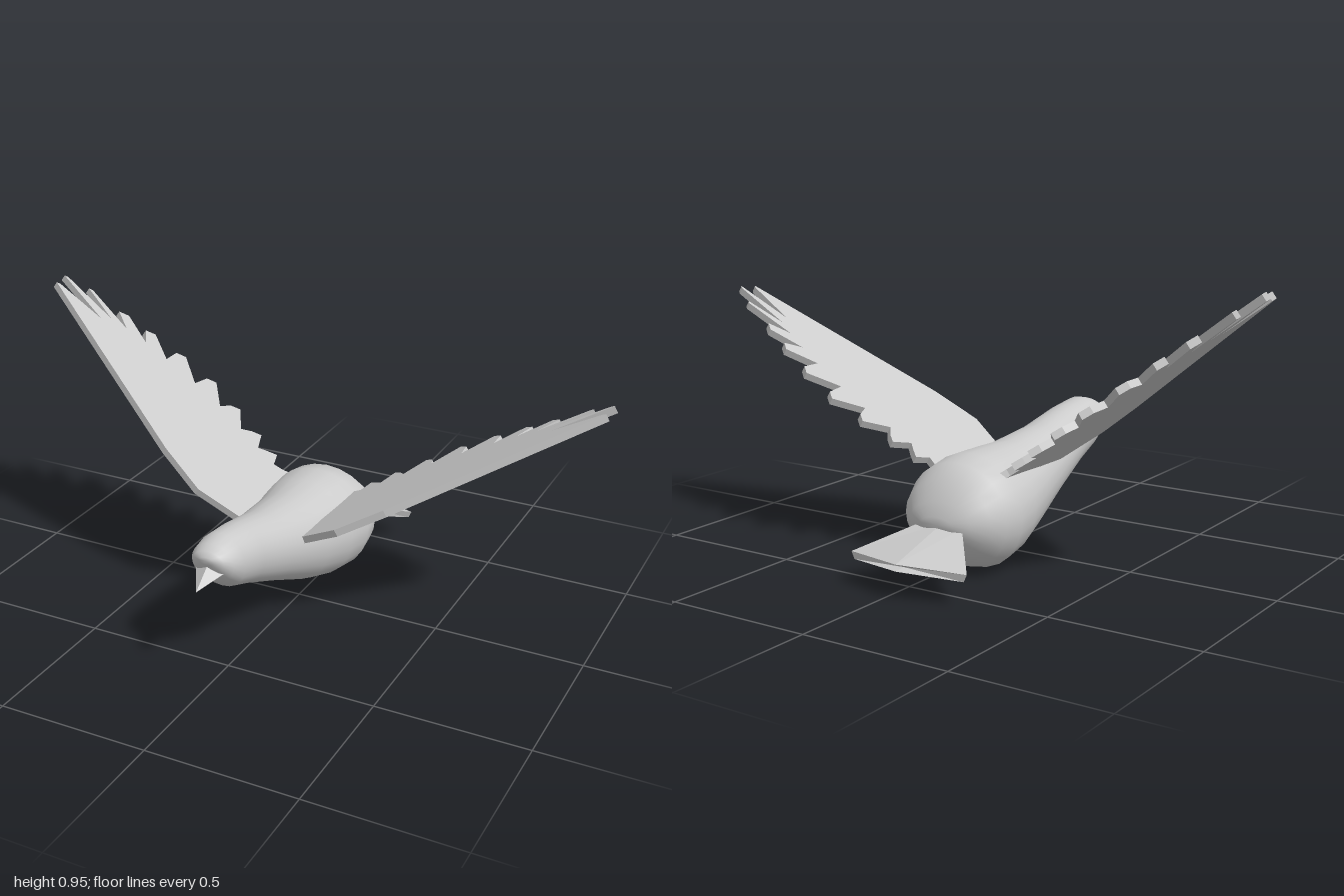
import * as THREE from 'three';

const CENTRE_X = -0.04;

// Skin closed rings (counter-clockwise, running from +z to -z) with end caps.
function loft(rings) {
  const n = rings[0].length;
  const points = rings.flat();
  const index = [];
  for (let i = 0; i < rings.length - 1; i++) {
    for (let j = 0; j < n; j++) {
      const a = i * n + j, b = i * n + (j + 1) % n;
      index.push(a, a + n, b, b, a + n, b + n);
    }
  }
  const last = (rings.length - 1) * n;
  [0, last].forEach((start) => {
    const centre = points.length;
    const mid = new THREE.Vector3();
    rings[start / n].forEach((p) => mid.addScaledVector(p, 1 / n));
    points.push(mid);
    for (let j = 0; j < n; j++) {
      const a = start + j, b = start + (j + 1) % n;
      if (start === 0) index.push(centre, a, b);
      else index.push(centre, b, a);
    }
  });
  const geometry = new THREE.BufferGeometry().setFromPoints(points);
  geometry.setIndex(index);
  geometry.computeVertexNormals();
  return geometry;
}

// Body stations: z, top y, bottom y, half width
const BODY = [
  [0.55, 0.405, 0.38, 0.025], [0.537, 0.42, 0.345, 0.055], [0.51, 0.433, 0.307, 0.074],
  [0.457, 0.445, 0.262, 0.085], [0.35, 0.432, 0.22, 0.095], [0.185, 0.395, 0.147, 0.118],
  [0, 0.375, 0.06, 0.152], [-0.12, 0.377, 0.02, 0.182], [-0.22, 0.376, 0.004, 0.195],
  [-0.295, 0.36, 0.025, 0.188], [-0.35, 0.315, 0.067, 0.163], [-0.39, 0.255, 0.115, 0.115],
  [-0.41, 0.21, 0.16, 0.06],
];

function bodyGeometry() {
  const sides = 24;
  return loft(BODY.map(([z, top, bottom, w]) => Array.from({ length: sides }, (_, j) => {
    const a = (j / sides) * Math.PI * 2;
    // the belly is a little fuller than the back
    const cos = Math.cos(a);
    const fullness = Math.sin(a) < 0 ? 0.85 : 1;
    const x = Math.sign(cos) * Math.pow(Math.abs(cos), fullness) * w;
    return new THREE.Vector3(x, (top + bottom) / 2 + Math.sin(a) * (top - bottom) / 2, z);
  })));
}

// Four-sided beak tapering to a point
function beakGeometry() {
  const tip = new THREE.Vector3(0, 0.318, 0.616);
  const base = [[0.065, 0.362, 0.5], [0, 0.385, 0.53], [-0.065, 0.362, 0.5], [0, 0.33, 0.5]];
  return loft([base.map(() => tip.clone()), base.map((p) => new THREE.Vector3(...p))]);
}

// Fan tail with a low central ridge
function tailGeometry() {
  const section = (w, edgeZ, midZ, edgeTop, midTop, edgeBottom, midBottom) => [
    [w, edgeTop, edgeZ], [0, midTop, midZ], [-w, edgeTop, edgeZ],
    [-w * 0.95, edgeBottom, edgeZ], [0, midBottom, midZ], [w * 0.95, edgeBottom, edgeZ],
  ].map((p) => new THREE.Vector3(...p));
  return loft([
    section(0.075, -0.38, -0.38, 0.178, 0.184, 0.14, 0.144),
    section(0.217, -0.56, -0.62, 0.104, 0.114, 0.08, 0.092),
  ]);
}

// Feathers from wing tip to root: tip (span, z), then the notch behind it
const FEATHERS = [
  [1.045, -0.1, 0.85, -0.12], [1.055, -0.16, 0.83, -0.16], [0.97, -0.205, 0.77, -0.18],
  [0.84, -0.245, 0.69, -0.2], [0.73, -0.275, 0.6, -0.215], [0.6, -0.305, 0.47, -0.23],
  [0.46, -0.322, 0.35, -0.235], [0.33, -0.305, 0.24, -0.225], [0.21, -0.282, 0.15, -0.215],
  [0.12, -0.262, 0.07, -0.21], [0.035, -0.245, 0, -0.21],
];

function wingGeometry(side) {
  const outline = [[0, 0.13], [0.165, 0.18], [0.34, 0.145]];
  FEATHERS.forEach(([u, z, notchU, notchZ], i) => {
    // outer feathers end narrow, inner ones blunt
    const blunt = i < 3 ? 0.012 : 0.032;
    outline.push([u, z + blunt * 0.7], [Math.max(u - blunt, 0), z], [notchU, notchZ]);
  });
  const shape = new THREE.Shape(outline.map(([u, z]) => new THREE.Vector2(side * u, z)));
  const thickness = 0.024;
  const geometry = new THREE.ExtrudeGeometry(shape, { depth: thickness, bevelEnabled: false });
  geometry.translate(0, 0, -thickness / 2);
  geometry.rotateX(Math.PI / 2);
  return geometry;
}

export function createModel() {
  const bird = new THREE.Group();
  bird.name = 'bird';
  const smooth = new THREE.MeshStandardMaterial({ color: 0xcccccc });
  const flat = new THREE.MeshStandardMaterial({ color: 0xcccccc, flatShading: true });

  const add = (name, geometry, material, x = CENTRE_X, y = 0) => {
    const mesh = new THREE.Mesh(geometry, material);
    mesh.name = name;
    mesh.position.set(x, y, 0);
    bird.add(mesh);
    return mesh;
  };

  add('body', bodyGeometry(), smooth);
  add('beak', beakGeometry(), flat);
  add('tail', tailGeometry(), flat);

  // Wings, the right one raised higher than the left
  add('leftWing', wingGeometry(1), flat, CENTRE_X + 0.115, 0.292).rotation.z = 0.524;
  add('rightWing', wingGeometry(-1), flat, CENTRE_X - 0.115, 0.312).rotation.z = -0.64;

  return bird;
}
